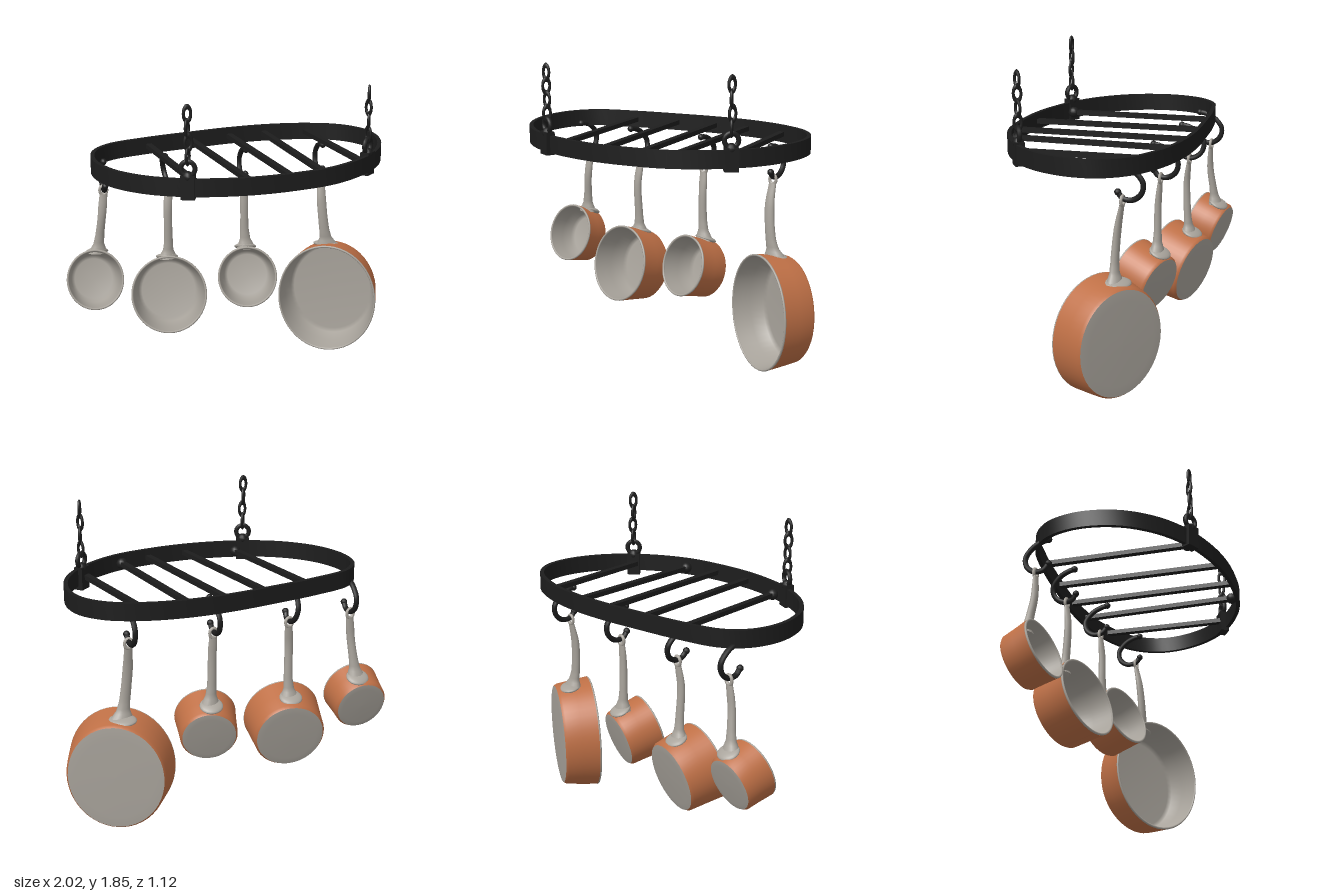
import * as THREE from 'three';
import { toCreasedNormals } from 'three/addons/utils/BufferGeometryUtils.js';

const mat = (name, color, side = THREE.FrontSide) => {
  const m = new THREE.MeshStandardMaterial({ color, side });
  m.name = name;
  return m;
};
const V = (x, y, z) => new THREE.Vector3(x, y, z);

export function createModel() {
  const root = new THREE.Group();
  root.name = 'hangingPanRack';
  const iron = mat('blackIron', 0x1d1d1d);
  const copper = mat('copper', 0xbf7046, THREE.DoubleSide);
  const steel = mat('paleSteel', 0xa8a39b, THREE.DoubleSide);

  const add = (parent, name, geo, material) => {
    const m = new THREE.Mesh(geo, material);
    m.name = name;
    parent.add(m);
    return m;
  };
  const group = (parent, name) => {
    const g = new THREE.Group();
    g.name = name;
    parent.add(g);
    return g;
  };
  // The rack leans very slightly
  const rackY = (x, z) => 1.39 + 0.006 * x - 0.014 * z;

  // Oval band of the rack
  const outline = [[-0.84, -0.1], [-0.8, -0.25], [-0.69, -0.37], [-0.45, -0.45], [-0.15, -0.51],
    [0.1, -0.55], [0.35, -0.563], [0.6, -0.53], [0.81, -0.44], [0.925, -0.3], [0.953, -0.14],
    [0.915, 0.05], [0.82, 0.22], [0.67, 0.365], [0.46, 0.485], [0.22, 0.54], [0, 0.557],
    [-0.2, 0.54], [-0.4, 0.49], [-0.6, 0.385], [-0.75, 0.23], [-0.825, 0.06]];
  const curve = new THREE.CatmullRomCurve3(outline.map(([x, z]) => V(x, 0, z)), true);
  const pts = curve.getSpacedPoints(110).slice(0, -1);
  const inner = pts.map((p, i) => {
    const t = pts[(i + 1) % pts.length].clone().sub(pts[(i + pts.length - 1) % pts.length]).normalize();
    return new THREE.Vector2(p.x - t.z * 0.024, -(p.z + t.x * 0.024));
  });
  const shape = new THREE.Shape(pts.map((p) => new THREE.Vector2(p.x, -p.z)));
  shape.holes.push(new THREE.Path(inner.reverse()));
  const band = new THREE.ExtrudeGeometry(shape, { depth: 0.102, bevelEnabled: false });
  band.rotateX(-Math.PI / 2);
  const bp = band.attributes.position;
  for (let i = 0; i < bp.count; i++) {
    bp.setY(i, bp.getY(i) - 0.051 + rackY(bp.getX(i), bp.getZ(i)));
  }
  add(root, 'rackBand', toCreasedNormals(band, 0.6), iron);

  // Slanting cross bars
  const bars = [[-0.43, -0.44, -0.32, 0.44], [-0.15, -0.5, -0.01, 0.545], [0.11, -0.54, 0.24, 0.52],
    [0.34, -0.55, 0.435, 0.44], [0.61, -0.515, 0.72, 0.26]];
  bars.forEach(([x0, z0, x1, z1], i) => {
    const a = V(x0, rackY(x0, z0), z0), b = V(x1, rackY(x1, z1), z1);
    const bar = add(root, 'crossBar', new THREE.BoxGeometry(0.036, 0.028, a.distanceTo(b)), iron);
    bar.position.copy(a).lerp(b, 0.5);
    bar.lookAt(b);
    if (i === 0 || i === 3) add(root, 'barEndKnob', new THREE.SphereGeometry(0.034, 14, 10), iron).position.copy(b);
  });

  // Clamps, eye rings and chains
  [[-0.39, 0.487, -0.37, 0.93], [0.745, 0.265, 0.65, 0.75]].forEach(([x, z, nx, nz]) => {
    const g = group(root, 'chainHanger');
    g.position.set(x, 0, z);
    g.rotation.y = Math.atan2(nx, nz);
    add(g, 'clamp', new THREE.BoxGeometry(0.08, 0.135, 0.055), iron).position.y = 1.385;
    add(g, 'clampBolt', new THREE.SphereGeometry(0.032, 12, 8), iron).position.set(0, 1.445, 0);
    add(g, 'eyeRing', new THREE.TorusGeometry(0.04, 0.014, 8, 20), iron).position.y = 1.492;
    for (let i = 0; i < 4; i++) {
      const link = add(g, 'chainLink', new THREE.TorusGeometry(0.021, 0.0085, 7, 16), iron);
      link.scale.y = 1.9;
      link.position.set(0.004 * Math.sin(i * 2), 1.56 + i * 0.08, 0);
      link.rotation.y = i % 2 ? 0.4 : 1.3;
    }
  });

  // Curved iron hook hanging from the rack
  const hookPath = [[-0.28, 1.36], [-0.32, 1.355], [-0.38, 1.33], [-0.43, 1.27], [-0.42, 1.21],
    [-0.37, 1.17], [-0.31, 1.172], [-0.28, 1.205]];
  const addHook = (x, dz, lean) => {
    const path = new THREE.CatmullRomCurve3(hookPath.map(([z, y]) => V(x + (1.17 - y) * lean, y, z + dz)));
    add(root, 'hook', new THREE.TubeGeometry(path, 36, 0.016, 8), iron);
    for (const t of [0, 1]) add(root, 'hookTip', new THREE.SphereGeometry(0.02, 10, 8), iron).position.copy(path.getPoint(t));
  };

  // Oval cross-sections swept along a path; sections run downward
  const sweep = (points, sizes) => {
    const path = new THREE.CatmullRomCurve3(points), n = 24, m = 14, pos = [], idx = [];
    for (let i = 0; i <= n; i++) {
      const p = path.getPoint(i / n), f = (i / n) * (sizes.length - 1);
      const k = Math.min(Math.floor(f), sizes.length - 2), s = f - k;
      const w = THREE.MathUtils.lerp(sizes[k][0], sizes[k + 1][0], s);
      const d = THREE.MathUtils.lerp(sizes[k][1], sizes[k + 1][1], s);
      for (let j = 0; j < m; j++) {
        const a = (j / m) * Math.PI * 2;
        pos.push(p.x + w * Math.cos(a), p.y, p.z + d * Math.sin(a));
        if (i < n) {
          const q = i * m + j, r = i * m + (j + 1) % m;
          idx.push(q, r, q + m, r, r + m, q + m);
        }
      }
    }
    const g = new THREE.BufferGeometry();
    g.setAttribute('position', new THREE.Float32BufferAttribute(pos, 3));
    g.setIndex(idx);
    g.computeVertexNormals();
    return g;
  };
  const lathe = (profile) => {
    const g = new THREE.LatheGeometry(profile.map(([r, y]) => new THREE.Vector2(r, y)), 48);
    return g.rotateX(Math.PI / 2);
  };

  // Pans: rim centre, rim radius, base radius, depth, yaw, pitch, squeeze, handle path
  const pans = [
    { c: [-0.82, 0.624, -0.22], r: 0.186, b: 0.16, d: 0.19, yaw: 0.08, pitch: 0.31, sx: 0.94, dz: 0.025,
      h: [[-0.735, 1.135, -0.335], [-0.75, 1, -0.33], [-0.765, 0.87, -0.345], [-0.78, 0.752, -0.36]], lean: 0.03 },
    { c: [-0.37, 0.5, -0.17], r: 0.242, b: 0.21, d: 0.24, yaw: 0.19, pitch: 0.24, sx: 0.97, dz: 0,
      h: [[-0.328, 1.135, -0.34], [-0.338, 1, -0.325], [-0.335, 0.79, -0.335], [-0.34, 0.682, -0.345]], lean: 0.16 },
    { c: [0.132, 0.573, -0.16], r: 0.191, b: 0.165, d: 0.22, yaw: 0.26, pitch: 0.28, sx: 0.97, dz: -0.025,
      h: [[0.155, 1.135, -0.345], [0.157, 1, -0.335], [0.16, 0.83, -0.335], [0.17, 0.707, -0.335]], lean: -0.03 },
    { c: [0.668, 0.365, -0.182], r: 0.356, b: 0.318, d: 0.222, yaw: 0.5, pitch: 0.02, sx: 0.89, dz: -0.02, wide: 1.2,
      h: [[0.662, 1.135, -0.325], [0.66, 1, -0.3], [0.68, 0.8, -0.29], [0.705, 0.69, -0.3]], lean: 0.01 },
  ];
  pans.forEach(({ c, r, b, d, yaw, pitch, sx, dz, h, lean, wide = 1 }) => {
    const g = group(root, 'pan');
    const body = group(g, 'panBody');
    body.position.set(...c);
    body.rotation.set(-pitch, -yaw, 0, 'YXZ');
    body.scale.x = sx;
    const t = 0.012;
    // Copper wall, pale base, pale lining and rim
    add(body, 'copperWall', lathe([[b, -d + 0.006], [b + 0.012, -d + 0.022], [b + (r - b) * 0.65, -d * 0.5], [r, -0.004]]), copper);
    add(body, 'panBase', lathe([[0, -d], [b * 0.8, -d + 0.001], [b, -d + 0.006]]), steel);
    add(body, 'panLining', lathe([[0, -d + t], [b - 0.035, -d + t], [b - 0.012, -d + 0.03],
      [b + (r - b) * 0.65 - t, -d * 0.5], [r - t, 0]]), steel);
    add(body, 'panRim', new THREE.TorusGeometry(r - t / 2, 0.007, 8, 48), steel);

    // Tapered handle with a hanging eye and a mounting plate
    add(g, 'handle', sweep(h.map((p) => V(...p)),
      [[0.024, 0.012], [0.027, 0.017], [0.026 * wide, 0.02], [0.026 * wide, 0.022], [0.028 * wide, 0.023],
        [0.034 * wide, 0.027], [0.06 * wide, 0.045]]), steel);
    const eye = add(g, 'handleEye', new THREE.TorusGeometry(0.022, 0.0095, 8, 20), steel);
    eye.position.set(h[0][0], h[0][1] + 0.022, h[0][2] - 0.003);
    eye.scale.y = 1.25;
    const plate = add(g, 'handlePlate', new THREE.SphereGeometry(1, 18, 12), steel);
    plate.position.set(h[3][0], h[3][1] + 0.002, h[3][2] - 0.02);
    plate.rotation.set(-pitch - 0.15, -yaw, 0, 'YXZ');
    plate.scale.set(0.07 * wide, 0.02, 0.065);
    addHook(h[0][0], dz, lean);
  });
  return root;
}
